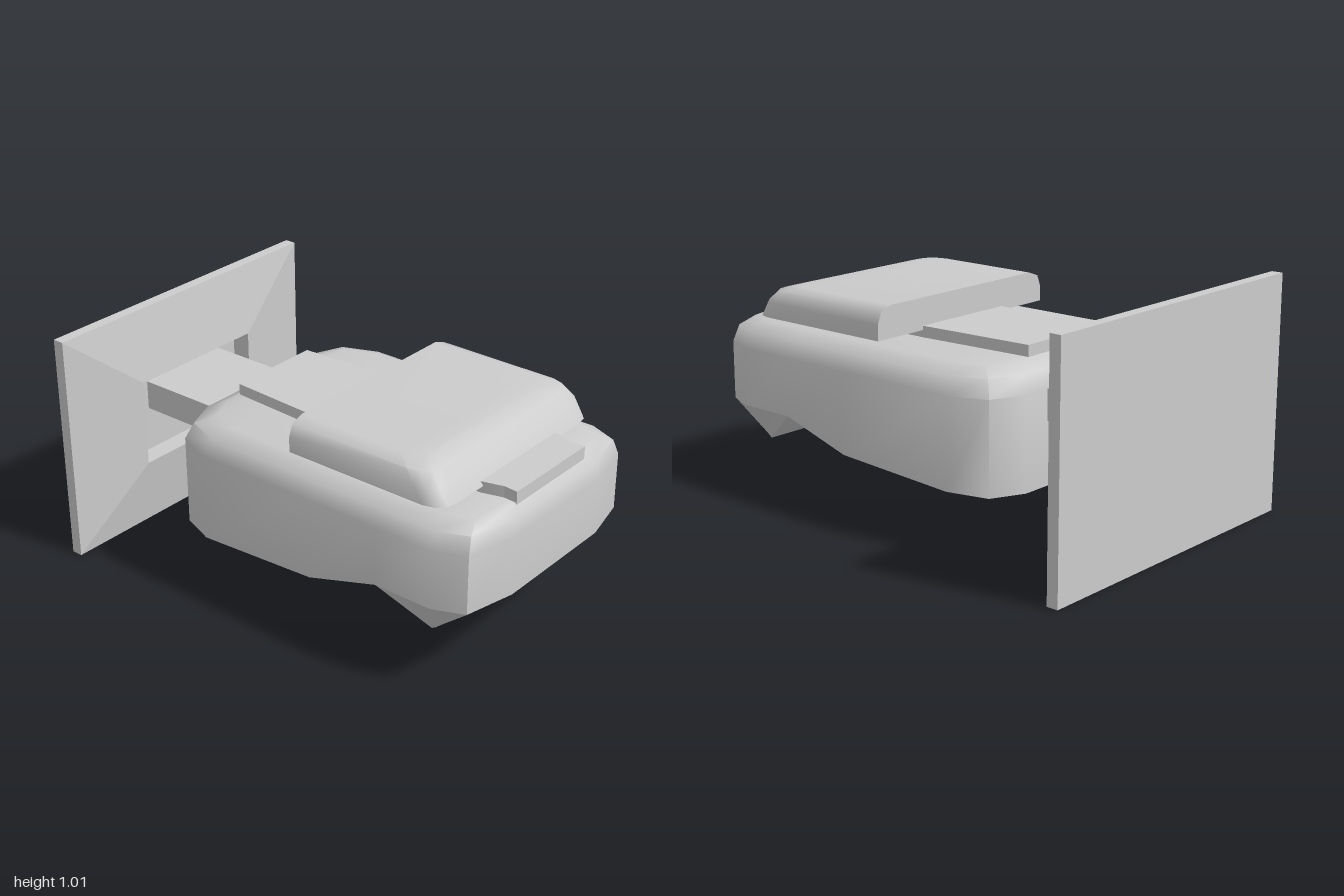
import * as THREE from 'three';
import { toCreasedNormals } from 'three/addons/utils/BufferGeometryUtils.js';

const material = new THREE.MeshStandardMaterial({ color: 0xcccccc });

// Skin over rings that are mirrored in z. Each ring lists only its +z points;
// the end caps are strips between mirrored pairs, so they may be bent.
function loft(rings, crease) {
  const n = rings[0].length, m = 2 * n, positions = [], index = [];
  for (const half of rings) {
    const mirrored = half.map(([x, y, z]) => [x, y, -z]).reverse();
    for (const p of [...half, ...mirrored]) positions.push(...p);
  }
  const quad = (a, b, c, d) => index.push(a, b, c, a, c, d);
  for (let r = 0; r < rings.length - 1; r++)
    for (let i = 0; i < m; i++) {
      const j = (i + 1) % m, lo = r * m, up = lo + m;
      quad(lo + i, lo + j, up + j, up + i);
    }
  const top = (rings.length - 1) * m;
  for (let i = 0; i < n - 1; i++) {
    quad(top + i, top + i + 1, top + m - 2 - i, top + m - 1 - i);
    quad(m - 1 - i, m - 2 - i, i + 1, i);
  }
  const geometry = new THREE.BufferGeometry();
  geometry.setAttribute('position', new THREE.Float32BufferAttribute(positions, 3));
  geometry.setIndex(index);
  return toCreasedNormals(geometry, crease);
}

export function createModel() {
  const group = new THREE.Group();
  const add = (name, geometry) => {
    const mesh = new THREE.Mesh(geometry, material);
    mesh.name = name;
    group.add(mesh);
    return mesh;
  };

  // Mounting plate: shallow pyramid front with a rectangular socket
  const plateRing = ([x, hy, hz]) => [[x, 0.505 + hy, hz], [x, 0.505 - hy, hz]];
  add('mountingPlate', loft([
    [-1, 0.505, 0.715], [-0.95, 0.505, 0.715],
    [-0.9, 0.195, 0.33], [-0.99, 0.195, 0.33],
  ].map(plateRing), 0.1));

  // Arm from the socket to the body
  add('arm', new THREE.BoxGeometry(0.47, 0.13, 0.45)).position.set(-0.755, 0.575, 0);

  // Body: rounded plan, stepped underside, rounded upper edge
  const plan = [[-0.55, 0.35], [-0.49, 0.5], [-0.33, 0.565], [0.23, 0.565],
    [0.56, 0.565], [0.82, 0.565], [0.95, 0.51], [1, 0.29]];
  const underside = (x) => x < 0.23 ? 0.245 + (x + 0.55) * 0.0577
    : Math.min(0.39, 0.29 + (x - 0.23) * 0.303);
  const bodyRing = (y, inset) => plan.map(([x, z]) => [
    -0.55 + inset + (x + 0.55) * (1.55 - 1.45 * inset) / 1.55, y, z * (1 - inset / 0.565)]);
  add('body', loft([
    plan.map(([x, z]) => [x, underside(x), z]),
    bodyRing(0.64, 0), bodyRing(0.71, 0.03), bodyRing(0.745, 0.105),
  ], 0.85));

  // Wedge under the front end, narrowing to a ridge
  const wedgeTop = plan.slice(4).map(([x, z]) => [x, 0.39, z]);
  const wedgeTip = [0.766, 0.769, 0.772, 0.775].map((x, i) => [x, 0.235, 0.475 - i * 0.004]);
  add('lowerWedge', loft([wedgeTip, wedgeTop], 0.4));

  // Rail along the top of the body
  const railPlan = [[-0.445, 0.215], [0.08, 0.245], [0.81, 0.25], [0.9, 0.225], [0.96, 0.23]];
  add('topRail', loft([0.71, 0.793].map((y) => railPlan.map(([x, z]) => [x, y, z])), 0.3));

  // Cover over the rail: flat rear end, rounded sides and front
  const coverRing = ([y, front, z]) => [[0.085, y, z], [front - 0.09, y, z],
    [front - 0.04, y, z - 0.015], [front - 0.008, y, z - 0.05], [front, y, z - 0.1]];
  add('cover', loft([
    [0.775, 0.82, 0.505], [0.84, 0.78, 0.505], [0.89, 0.73, 0.485], [0.91, 0.66, 0.43],
  ].map(coverRing), 0.85));

  return group;
}
